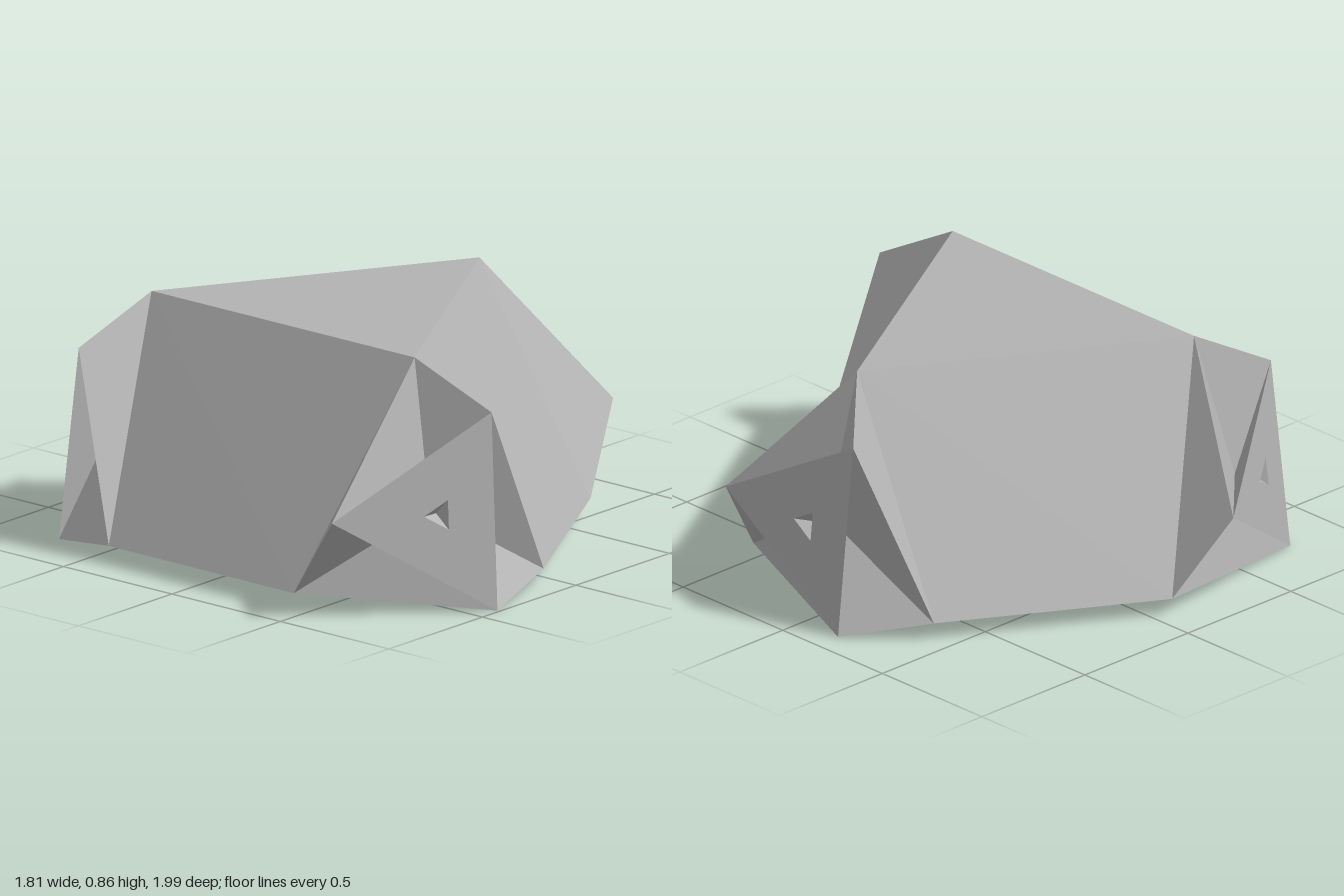
import * as THREE from 'three';

// One corner, relative to the threefold axis; the other two are 120 degree turns.
const AXIS = new THREE.Vector3(-0.09, 0, 0.03);
const CORNER = {
  top: [-0.35, 0.863, 0.606],
  baseA: [-0.78, 0.065, 0.42],
  baseB: [0.01, 0.065, 0.89],
  tipSide: [-0.82, 0.37, 0.63],
  tipHigh: [-0.28, 0.705, 0.9],
  tipLow: [-0.318, 0.002, 0.96],
  core: [-0.42, 0.35, 0.735],
};

function cornerPoints(k) {
  const points = {};
  const up = new THREE.Vector3(0, 1, 0);
  for (const [name, p] of Object.entries(CORNER)) {
    points[name] = new THREE.Vector3(...p).applyAxisAngle(up, (-k * Math.PI * 2) / 3).add(AXIS);
  }
  return points;
}

// Orders a triangle so that it faces away from the given inner point.
function outward(a, b, c, inner) {
  const n = b.clone().sub(a).cross(c.clone().sub(a));
  return n.dot(a.clone().sub(inner)) < 0 ? [a, c, b] : [a, b, c];
}

function polygon(points, inner) {
  const out = [];
  for (let i = 1; i < points.length - 1; i++) {
    out.push(...outward(points[0], points[i], points[i + 1], inner));
  }
  return out;
}

// A triangle pushed in to an apex.
function pit([a, b, c], apex) {
  return [a, b, apex, b, c, apex, c, a, apex];
}

function makeMesh(name, points, material) {
  const geometry = new THREE.BufferGeometry().setFromPoints(points);
  geometry.computeVertexNormals();
  const mesh = new THREE.Mesh(geometry, material);
  mesh.name = name;
  return mesh;
}

export function createModel() {
  const model = new THREE.Group();
  model.name = 'facetedSolid';
  const grey = new THREE.MeshStandardMaterial({ color: 0xb3b3b3, flatShading: true, side: THREE.DoubleSide });
  grey.name = 'plain grey';

  const corners = [0, 1, 2].map(cornerPoints);
  const middle = AXIS.clone().setY(0.4);

  // Body: triangular top, six-sided base, three sloping sides and cut corners
  const body = [
    ...polygon(corners.map((c) => c.top), middle),
    ...polygon(corners.flatMap((c) => [c.baseB, c.baseA]), middle),
  ];
  corners.forEach((c, k) => {
    const next = corners[(k + 2) % 3];
    body.push(...polygon([c.top, c.baseB, next.baseA, next.top], middle));
    body.push(...polygon([c.top, c.baseA, c.baseB], middle));
  });
  model.add(makeMesh('body', body, grey));

  // Corner stars: alternate faces are flat, the others sink to the core
  corners.forEach((c, k) => {
    const { top, baseA, baseB, tipSide, tipHigh, tipLow, core } = c;
    const faces = [
      [top, baseA, tipSide],
      [top, baseB, tipHigh],
      [baseA, baseB, tipLow],
    ].flatMap((f) => outward(...f, core));
    for (const f of [[top, tipSide, tipHigh], [baseB, tipHigh, tipLow], [baseA, tipLow, tipSide]]) {
      faces.push(...pit(outward(...f, core), core));
    }

    // Outer triangle with a small dimple
    const outer = outward(tipSide, tipHigh, tipLow, core);
    const centre = new THREE.Vector3().add(tipSide).add(tipHigh).add(tipLow).divideScalar(3);
    const rim = outer.map((p) => centre.clone().lerp(p, 0.15));
    for (let i = 0; i < 3; i++) {
      const j = (i + 1) % 3;
      faces.push(outer[i], outer[j], rim[j], outer[i], rim[j], rim[i]);
    }
    faces.push(...pit(rim, centre.clone().lerp(core, 0.4)));
    model.add(makeMesh(`cornerStar${k + 1}`, faces, grey));
  });

  return model;
}
